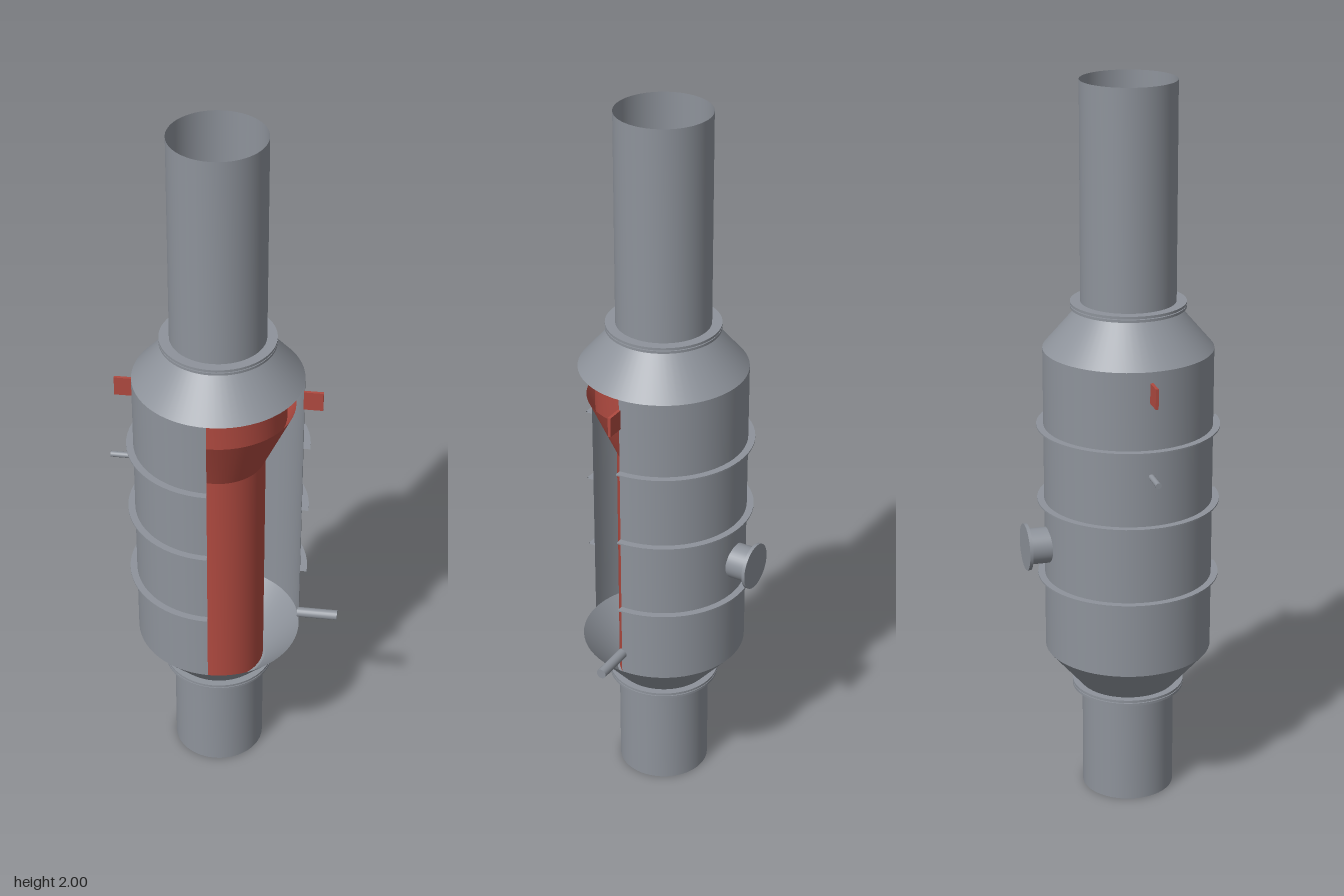
import * as THREE from 'three';
import { toCreasedNormals } from 'three/addons/utils/BufferGeometryUtils.js';

export function createModel() {
  const steel = new THREE.MeshStandardMaterial({ color: 0x8e939b, side: THREE.DoubleSide });
  steel.name = 'grey steel';
  const red = new THREE.MeshStandardMaterial({ color: 0xb04a40, side: THREE.DoubleSide });
  red.name = 'red lining';

  const model = new THREE.Group();
  model.name = 'pipeVessel';
  // everything turns around one vertical axis, slightly off the centre of the bounds
  const body = new THREE.Group();
  body.name = 'vessel';
  body.position.set(-0.022, 0, 0.02);
  model.add(body);

  const PIPE = 0.127, SHELL = 0.228, FLANGE = 0.154;
  const CUT = [Math.PI / 2, Math.PI * 1.5]; // front left quarter is cut open

  function add(name, geometry, material, x = 0, y = 0, z = 0) {
    const mesh = new THREE.Mesh(geometry, material);
    mesh.name = name;
    mesh.position.set(x, y, z);
    body.add(mesh);
    return mesh;
  }
  // profile is a list of [radius, height]
  function turn(name, profile, material, [start, length] = [0, Math.PI * 2]) {
    const pts = profile.map(([r, y]) => new THREE.Vector2(r, y));
    const segments = Math.round(64 * length / (Math.PI * 2));
    const lathe = new THREE.LatheGeometry(pts, segments, start, length);
    return add(name, toCreasedNormals(lathe, 0.4), material);
  }
  const plate = (name, r0, r1, y, h, arc) => turn(name,
    [[r0, y - h / 2], [r1, y - h / 2], [r1, y + h / 2], [r0, y + h / 2], [r0, y - h / 2]], steel, arc);

  // open-ended pipes, reducers and the cut-away shell
  turn('lowerPipe', [[PIPE, 0], [PIPE, 0.312]], steel);
  turn('upperPipe', [[PIPE, 1.408], [PIPE, 2]], steel);
  turn('lowerCone', [[PIPE, 0.312], [SHELL, 0.43]], steel);
  turn('upperCone', [[SHELL, 1.29], [PIPE, 1.408]], steel);
  turn('shell', [[SHELL, 0.43], [SHELL, 1.29]], steel, CUT);

  // paired flanges at both ends
  for (const [name, y] of [['lowerFlange', 0.312], ['upperFlange', 1.409]])
    for (const side of [-1, 1]) plate(name, PIPE, FLANGE, y + side * 0.0046, 0.007);

  // stiffening hoops
  for (const y of [0.645, 0.863, 1.075]) plate('hoop', SHELL, 0.247, y, 0.004, CUT);

  // inner tube, funnel and collar
  turn('innerTube', [[PIPE, 0.32], [PIPE, 1.03]], red);
  turn('funnel', [[PIPE, 1.03], [0.206, 1.205]], red);
  turn('collar', [[0.183, 1.165], [0.183, 1.28]], red);

  // lugs outside the shell
  for (const side of [-1, 1])
    add('lug', new THREE.BoxGeometry(0.052, 0.055, 0.008), red, side * 0.252, 1.233, -0.001);

  // small side pipes
  function sidePipe(name, side, r, y, from, to) {
    const geometry = new THREE.CylinderGeometry(r, r, to - from, 20);
    geometry.rotateZ(Math.PI / 2);
    add(name, geometry, steel, side * (from + to) / 2, y, 0);
  }
  sidePipe('drainPipe', 1, 0.014, 0.49, 0.224, 0.337);
  sidePipe('sensorPipe', -1, 0.008, 1.003, 0.224, 0.294);

  // rear nozzle with blind flange
  for (const [name, r, from, to] of [['nozzle', 0.049, -0.222, -0.282], ['nozzleFlange', 0.064, -0.28, -0.289]]) {
    const geometry = new THREE.CylinderGeometry(r, r, from - to, 40);
    geometry.rotateX(Math.PI / 2);
    add(name, geometry, steel, 0, 0.745, (from + to) / 2);
  }
  return model;
}
